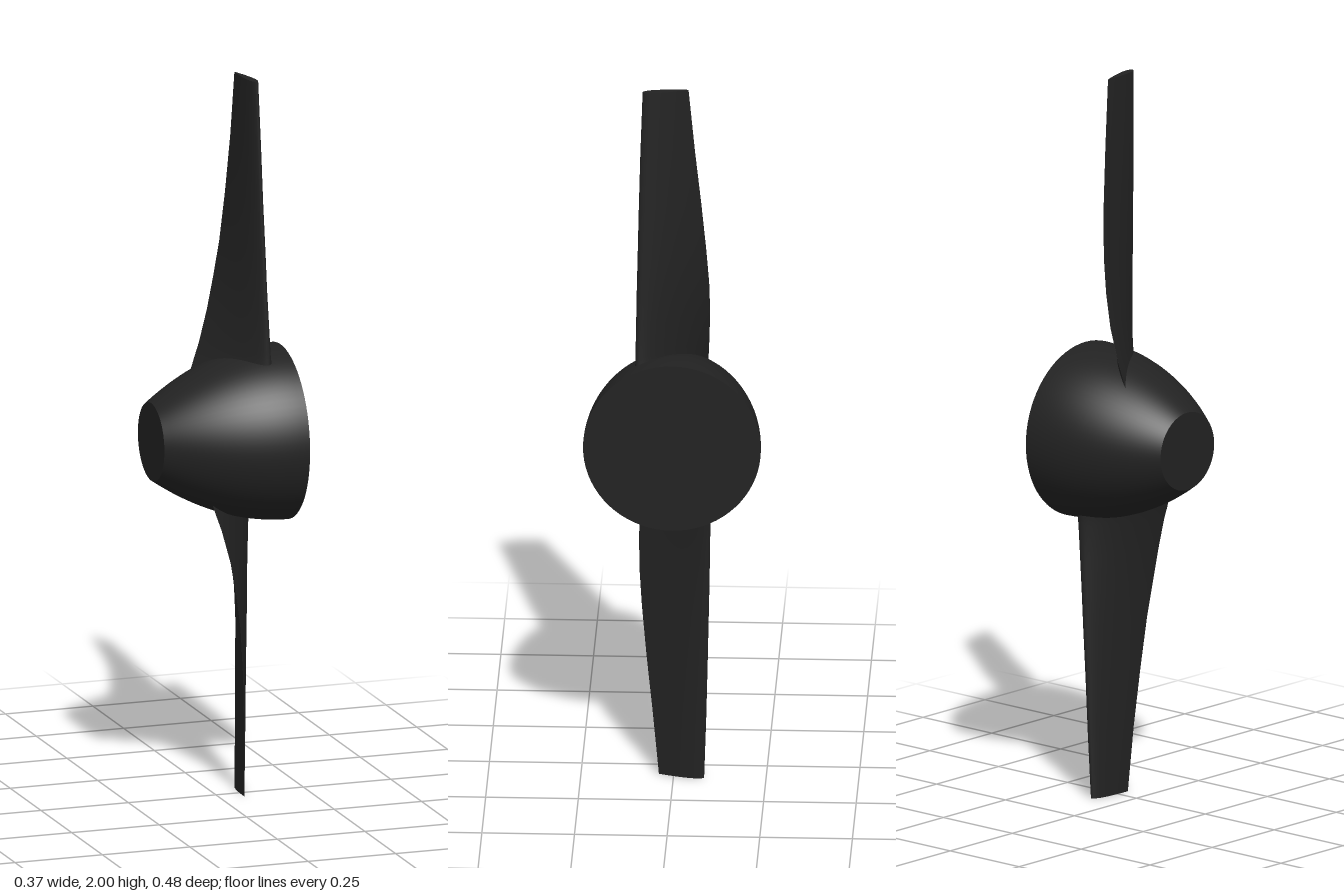
import * as THREE from 'three';

const black = new THREE.MeshStandardMaterial({ color: 0x222222 });
black.name = 'matteBlack';

const HALF = 0.185; // half length of the spinner along x

// Blade stations, heights measured from the hub axis:
// [height, trailing x, trailing z, leading x, leading z, thickness]
const STATIONS = [
  [0.14, -0.05, -0.088, 0.128, 0.1, 0.06],
  [0.2, -0.03, -0.091, 0.124, 0.1, 0.046],
  [0.24, -0.016, -0.093, 0.12, 0.1, 0.038],
  [0.33, 0.008, -0.096, 0.115, 0.099, 0.035],
  [0.42, 0.025, -0.094, 0.11, 0.098, 0.033],
  [0.52, 0.04, -0.087, 0.106, 0.096, 0.031],
  [0.66, 0.052, -0.074, 0.1, 0.093, 0.028],
  [0.82, 0.061, -0.057, 0.095, 0.089, 0.025],
  [1.0, 0.067, -0.04, 0.089, 0.083, 0.022],
];
const RING = 40;

// Symmetric airfoil half thickness at s = 0 (leading) to 1 (trailing)
const foil = (s) =>
  5 * (0.2969 * Math.sqrt(s) - 0.126 * s - 0.3516 * s ** 2 + 0.2843 * s ** 3 - 0.1036 * s ** 4);

function section([h, tx, tz, lx, lz, thick]) {
  const len = Math.hypot(tx - lx, tz - lz);
  const nx = (lz - tz) / len, nz = -(lx - tx) / len;
  const pts = [];
  for (let i = 0; i < RING; i++) {
    const a = (i / RING) * Math.PI * 2;
    const s = (1 - Math.cos(a)) / 2;
    const off = Math.sign(Math.sin(a)) * foil(s) * thick;
    pts.push(lx + (tx - lx) * s + nx * off, h, lz + (tz - lz) * s + nz * off);
  }
  return pts;
}

function buildGeometry(positions, index) {
  const g = new THREE.BufferGeometry();
  g.setAttribute('position', new THREE.Float32BufferAttribute(positions, 3));
  g.setIndex(index);
  g.computeVertexNormals();
  return g;
}

function bladeGeometry() {
  const index = [];
  for (let j = 0; j < STATIONS.length - 1; j++) {
    for (let i = 0; i < RING; i++) {
      const k = (i + 1) % RING;
      const a = j * RING + i, b = j * RING + k;
      index.push(a, b, b + RING, a, b + RING, a + RING);
    }
  }
  return buildGeometry(STATIONS.flatMap(section), index);
}

function tipGeometry() {
  const index = [];
  for (let i = 1; i < RING - 1; i++) index.push(0, i, i + 1);
  return buildGeometry(section(STATIONS[STATIONS.length - 1]), index);
}

export function createModel() {
  const model = new THREE.Group();
  model.name = 'propeller';
  const rotor = new THREE.Group();
  rotor.name = 'rotor';
  rotor.position.y = 1;
  model.add(rotor);

  const add = (parent, name, geometry) => {
    const mesh = new THREE.Mesh(geometry, black);
    mesh.name = name;
    parent.add(mesh);
    return mesh;
  };

  // Spinner: curved shell with flat ends
  const radius = (x) => 0.24 - 0.132 * ((HALF - x) / (2 * HALF)) ** 2;
  const profile = [];
  for (let i = 0; i <= 20; i++) {
    const x = -HALF + (2 * HALF * i) / 20;
    profile.push(new THREE.Vector2(radius(x), x));
  }
  add(rotor, 'spinnerShell', new THREE.LatheGeometry(profile, 72).rotateZ(-Math.PI / 2));
  for (const side of [-1, 1]) {
    const disc = new THREE.CircleGeometry(radius(side * HALF), 72).rotateY((side * Math.PI) / 2);
    add(rotor, side > 0 ? 'spinnerBase' : 'spinnerNose', disc).position.x = side * HALF;
  }

  // Two twisted blades, half a turn apart about the hub axis
  const blade = bladeGeometry(), tip = tipGeometry();
  ['upperBlade', 'lowerBlade'].forEach((name, i) => {
    const group = new THREE.Group();
    group.name = name;
    group.rotation.x = i * Math.PI;
    add(group, 'bladeSurface', blade);
    add(group, 'bladeTip', tip);
    rotor.add(group);
  });
  return model;
}
